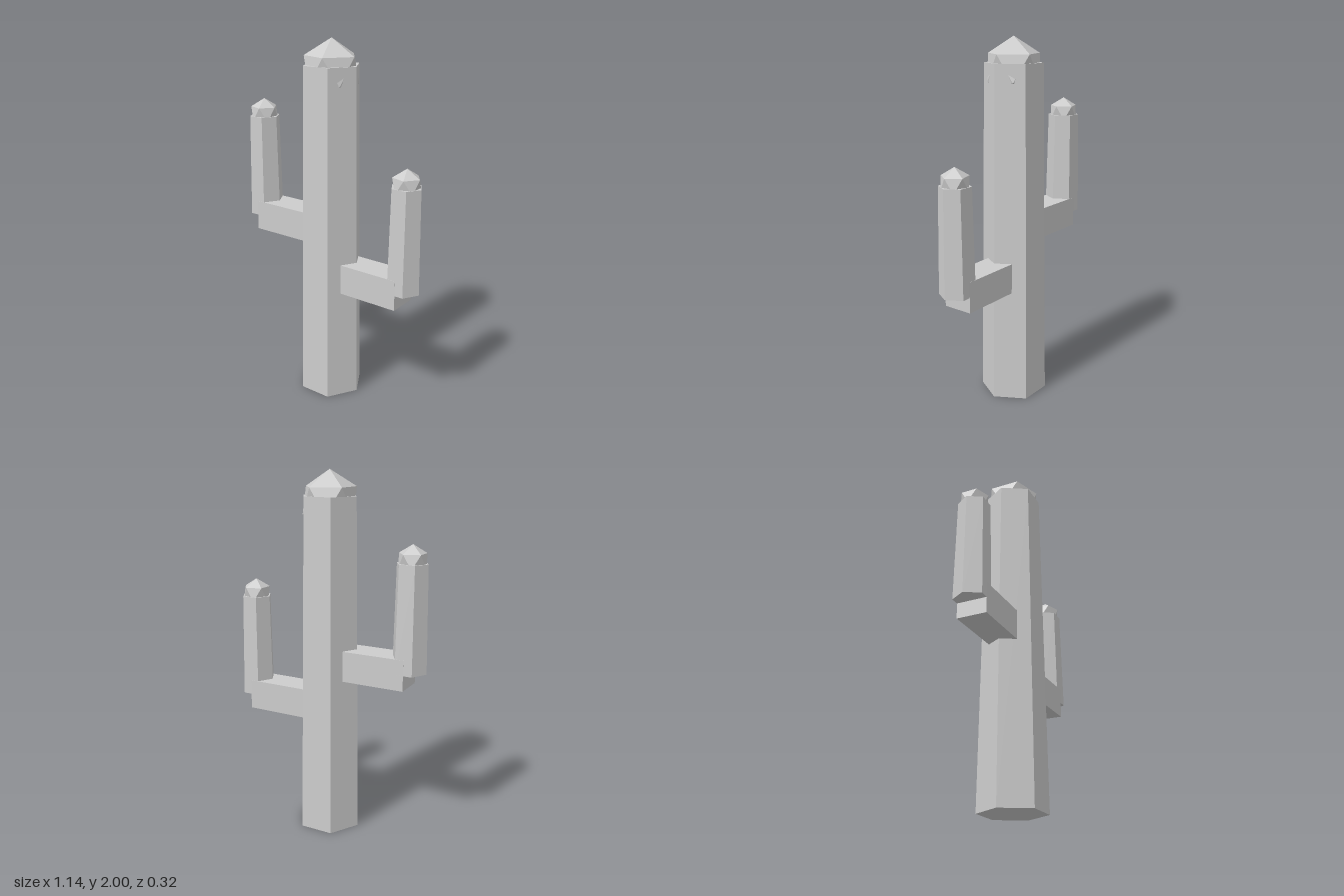
import * as THREE from 'three';

const stone = new THREE.MeshStandardMaterial({ color: 0xcccccc, flatShading: true });
stone.name = 'pale grey';

function add(parent, name, geometry, x, y) {
  const mesh = new THREE.Mesh(geometry, stone);
  mesh.name = name;
  mesh.position.set(x, y, 0);
  parent.add(mesh);
}

// Tapered six-sided column with corners on the x axis
function column(topRadius, bottomRadius, height) {
  return new THREE.CylinderGeometry(topRadius, bottomRadius, height, 6).rotateY(Math.PI / 6);
}

// Icosahedron standing on a corner, one upper corner facing +x
function tip(radius) {
  const tilt = Math.atan(2 / (1 + Math.sqrt(5)));
  return new THREE.IcosahedronGeometry(radius, 0).rotateZ(-tilt);
}

// Elbow arm: horizontal box, upright column and faceted tip
function arm(name, side, base) {
  const group = new THREE.Group();
  group.name = name;
  add(group, 'armBranch', new THREE.BoxGeometry(0.35, 0.168, 0.168), side * 0.3, base);
  add(group, 'armUpright', column(0.086, 0.097, 0.573), side * 0.475, base + 0.287);
  add(group, 'armTip', tip(0.084), side * 0.475, base + 0.586);
  return group;
}

export function createModel() {
  const model = new THREE.Group();
  model.name = 'cactus';
  // Trunk and its tip
  add(model, 'trunk', column(0.157, 0.185, 1.865), 0, 1.865 / 2);
  add(model, 'trunkTip', tip(0.16), 0, 1.84);
  // Arms at different heights
  model.add(arm('leftArm', 1, 0.72));
  model.add(arm('rightArm', -1, 0.972));
  return model;
}
